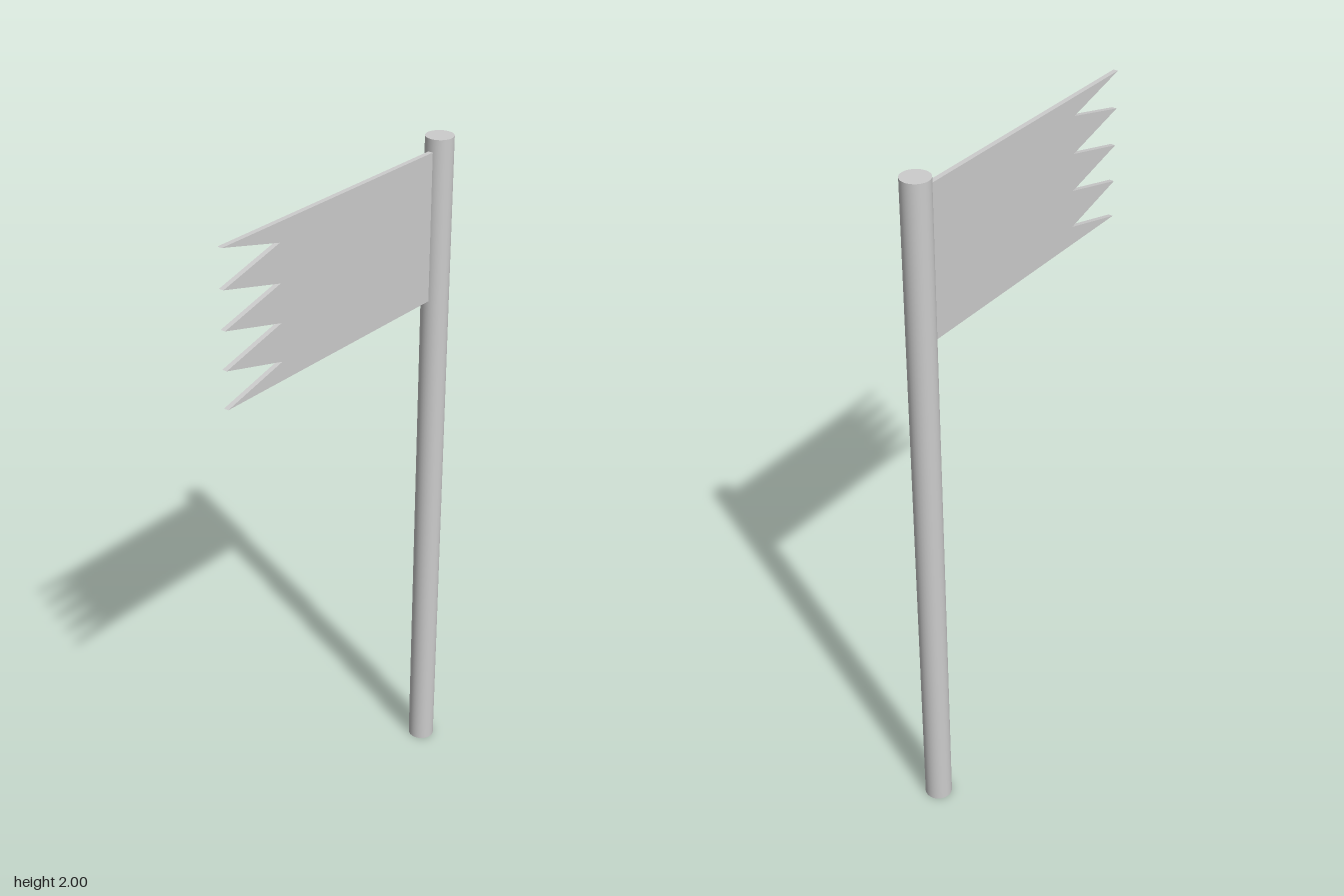
import * as THREE from 'three';

export function createModel() {
  const model = new THREE.Group();
  model.name = 'flagOnPole';

  const grey = new THREE.MeshStandardMaterial({ color: 0xcccccc });
  grey.name = 'light grey';

  // Pole: smooth round post, standing on the ground
  const radius = 0.039, poleX = 0.402;
  const pole = new THREE.Mesh(new THREE.CylinderGeometry(radius, radius, 2, 32), grey);
  pole.name = 'pole';
  pole.position.set(poleX, 1, 0);
  model.add(pole);

  // Flag: thin plate with a zigzag free edge of five tips and four notches
  const top = 1.965, bottom = 1.54, tipX = -0.441, notchX = -0.24, thickness = 0.014;
  const hoistX = poleX - radius + 0.01;
  const outline = new THREE.Shape();
  outline.moveTo(hoistX, bottom);
  outline.lineTo(hoistX, top);
  const steps = 8;
  for (let i = 0; i <= steps; i++) {
    const y = THREE.MathUtils.lerp(top, bottom, i / steps);
    outline.lineTo(i % 2 ? notchX : tipX, y);
  }
  outline.closePath();

  const flagGeometry = new THREE.ExtrudeGeometry(outline, { depth: thickness, bevelEnabled: false });
  flagGeometry.translate(0, 0, -thickness / 2);
  const flag = new THREE.Mesh(flagGeometry, grey);
  flag.name = 'flag';
  model.add(flag);

  return model;
}
